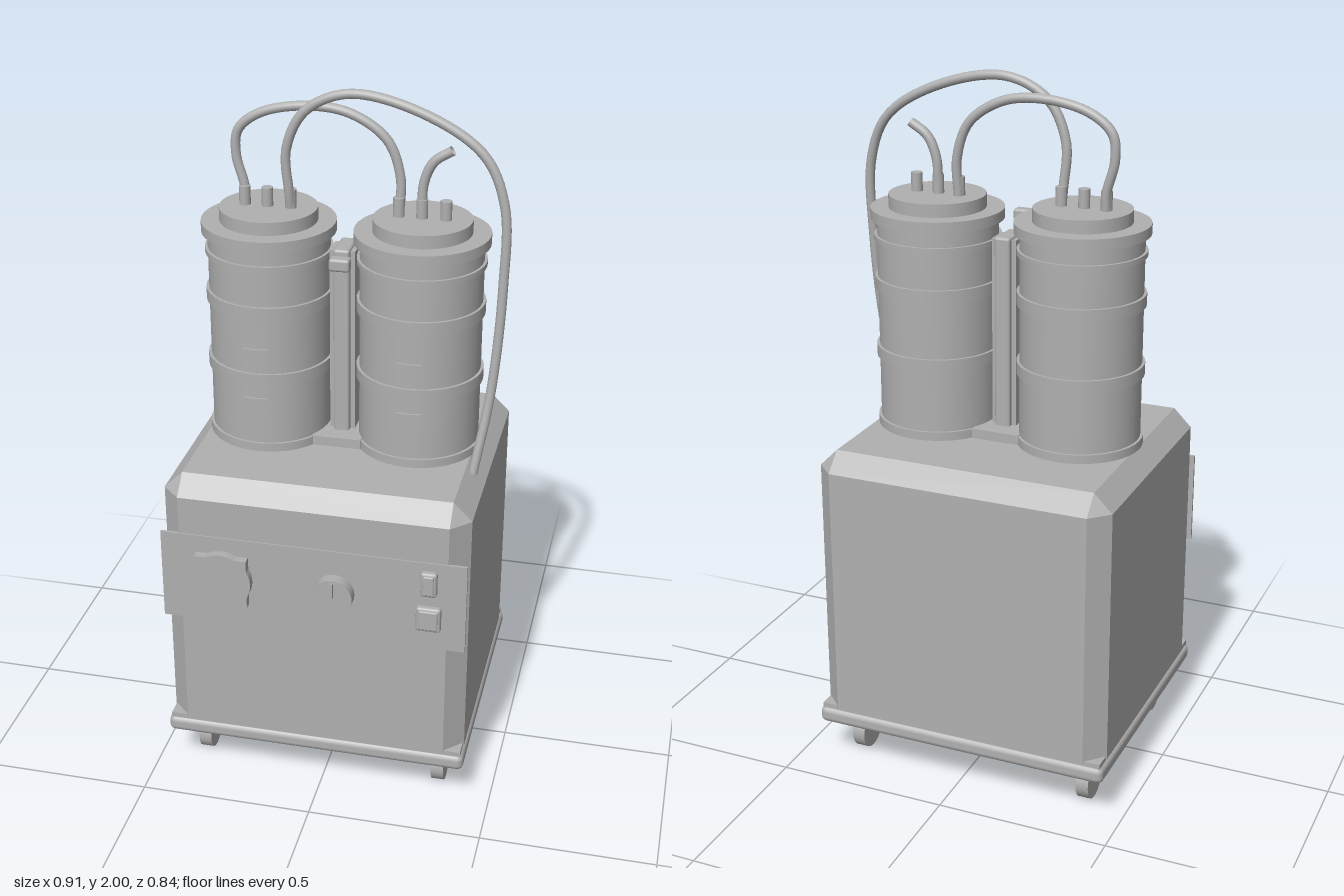
import * as THREE from 'three';
import { RoundedBoxGeometry } from 'three/addons/geometries/RoundedBoxGeometry.js';
import { ConvexGeometry } from 'three/addons/geometries/ConvexGeometry.js';

const grey = new THREE.MeshStandardMaterial({ color: 0xb0b0b0, side: THREE.DoubleSide });
grey.name = 'grey';

function add(parent, name, geometry, x = 0, y = 0, z = 0) {
  const mesh = new THREE.Mesh(geometry, grey);
  mesh.name = name;
  mesh.position.set(x, y, z);
  parent.add(mesh);
  return mesh;
}

// Box given by its limits on each axis; a radius rounds its edges
function block(parent, name, [x0, x1], [y0, y1], [z0, z1], radius = 0) {
  const size = [x1 - x0, y1 - y0, z1 - z0];
  const geometry = radius ? new RoundedBoxGeometry(...size, 2, radius) : new THREE.BoxGeometry(...size);
  return add(parent, name, geometry, (x0 + x1) / 2, (y0 + y1) / 2, (z0 + z1) / 2);
}

// Upright cylinder between two heights
function drum(parent, name, r, y0, y1, x = 0, z = 0, sides = 40) {
  return add(parent, name, new THREE.CylinderGeometry(r, r, y1 - y0, sides), x, (y0 + y1) / 2, z);
}

// Box with chamfered upright and top edges
function cabinetGeometry([x0, x1], [y0, y1], [z0, z1], c) {
  const points = [];
  for (const [x, sx] of [[x0, 1], [x1, -1]]) {
    for (const [z, sz] of [[z0, 1], [z1, -1]]) {
      for (const y of [y0, y1 - c]) {
        points.push(new THREE.Vector3(x + sx * c, y, z), new THREE.Vector3(x, y, z + sz * c));
      }
      points.push(new THREE.Vector3(x + sx * c, y1, z + sz * c));
    }
  }
  return new ConvexGeometry(points);
}

function hose(parent, name, points) {
  const curve = new THREE.CatmullRomCurve3(points.map((p) => new THREE.Vector3(...p)));
  add(parent, name, new THREE.TubeGeometry(curve, 72, 0.0135, 12));
}

function makeCanister(name, x) {
  const canister = new THREE.Group();
  canister.name = name;
  canister.position.set(x, 0, -0.024);
  drum(canister, 'canisterWall', 0.171, 0.97, 1.59);
  drum(canister, 'lidRim', 0.188, 1.585, 1.615);
  drum(canister, 'lidCap', 0.137, 1.61, 1.652);
  for (const [y0, y1] of [[0.98, 1.005], [1.185, 1.22], [1.385, 1.42], [1.525, 1.54]]) {
    drum(canister, 'hoop', 0.179, y0, y1);
  }
  for (const nx of [-0.067, -0.003, 0.063]) drum(canister, 'nozzle', 0.016, 1.64, 1.705, nx, 0, 16);
  // Level marks hug the front of the wall
  for (const y of [1.14, 1.29]) {
    const mark = new THREE.CylinderGeometry(0.177, 0.177, 0.008, 8, 1, false, -0.2, 0.4);
    add(canister, 'levelMark', mark, 0, y, 0);
  }
  return canister;
}

function makeCaster(x, z) {
  const caster = new THREE.Group();
  caster.name = 'caster';
  caster.position.set(x, 0, z);
  const wheel = new THREE.CylinderGeometry(0.058, 0.058, 0.037, 32).rotateZ(Math.PI / 2);
  add(caster, 'wheel', wheel, 0, 0.058, 0);
  block(caster, 'casterFork', [-0.035, 0.035], [0.085, 0.135], [-0.036, 0.036], 0.01);
  return caster;
}

export function createModel() {
  const model = new THREE.Group();
  model.name = 'twinCanisterUnit';

  // Cabinet on its bumper base
  add(model, 'cabinet', cabinetGeometry([-0.45, 0.42], [0.18, 0.98], [-0.412, 0.374], 0.053));
  block(model, 'baseDeck', [-0.447, 0.417], [0.165, 0.19], [-0.409, 0.373]);
  block(model, 'bumper', [-0.456, 0.426], [0.128, 0.178], [-0.418, 0.381], 0.018);
  block(model, 'frontPanel', [-0.45, 0.42], [0.54, 0.815], [0.37, 0.378]);
  for (const x of [-0.37, 0.34]) {
    for (const z of [0.246, -0.283]) model.add(makeCaster(x, z));
  }

  // Gauge: a round face merged with a square flange
  const outline = [];
  for (let i = 0; i < 64; i++) {
    const a = (i / 64) * Math.PI * 2;
    const r = Math.max(0.086, 0.075 / Math.max(Math.abs(Math.cos(a)), Math.abs(Math.sin(a))));
    outline.push(new THREE.Vector2(r * Math.cos(a), r * Math.sin(a)));
  }
  const gauge = new THREE.ExtrudeGeometry(new THREE.Shape(outline), { depth: 0.03, bevelEnabled: false });
  add(model, 'gauge', gauge, -0.272, 0.687, 0.372);

  // Control knob with its pointer
  const knob = new THREE.CylinderGeometry(0.057, 0.057, 0.045, 32).rotateX(Math.PI / 2);
  add(model, 'knob', knob, 0.05, 0.685, 0.39);
  block(model, 'knobPointer', [0.046, 0.054], [0.69, 0.735], [0.41, 0.42]);

  // Switches, each a bezel with a raised button
  for (const [x, y, w, h] of [[0.316, 0.752, 0.046, 0.076], [0.317, 0.64, 0.07, 0.076]]) {
    block(model, 'switchBezel', [x - w / 2, x + w / 2], [y - h / 2, y + h / 2], [0.37, 0.394], 0.008);
    block(model, 'switchButton', [x - w / 2 + 0.008, x + w / 2 - 0.008],
      [y - h / 2 + 0.008, y + h / 2 - 0.008], [0.38, 0.398], 0.004);
  }

  // Canisters with the centre post, its foot and latch
  model.add(makeCanister('rightCanister', -0.228), makeCanister('leftCanister', 0.204));
  block(model, 'postFoot', [-0.085, 0.057], [0.975, 1.008], [-0.13, 0.08]);
  block(model, 'post', [-0.048, 0.024], [1.0, 1.55], [-0.06, 0.01]);
  block(model, 'postRib', [-0.035, 0.011], [1.0, 1.558], [-0.077, 0.027], 0.008);
  block(model, 'latch', [-0.015, 0.042], [1.55, 1.586], [0.13, 0.165], 0.008);

  // Hoses
  hose(model, 'bridgeHose', [
    [-0.295, 1.65, -0.03], [-0.297, 1.7, -0.033], [-0.32, 1.79, -0.035], [-0.312, 1.86, -0.035],
    [-0.25, 1.91, -0.035], [-0.12, 1.938, -0.035], [0, 1.925, -0.035], [0.1, 1.86, -0.035],
    [0.138, 1.76, -0.035], [0.137, 1.65, -0.03],
  ]);
  hose(model, 'longHose', [
    [-0.165, 1.65, -0.022], [-0.167, 1.7, -0.015], [-0.172, 1.82, -0.01], [-0.12, 1.93, -0.008],
    [0, 1.986, -0.008], [0.2, 1.95, 0], [0.37, 1.85, 0.01], [0.43, 1.72, 0.02],
    [0.437, 1.5, 0.033], [0.42, 1.2, 0.06], [0.385, 0.96, 0.11],
  ]);
  hose(model, 'shortHose', [
    [0.201, 1.65, -0.026], [0.204, 1.75, -0.028], [0.23, 1.81, -0.028], [0.28, 1.845, -0.028],
  ]);
  return model;
}
